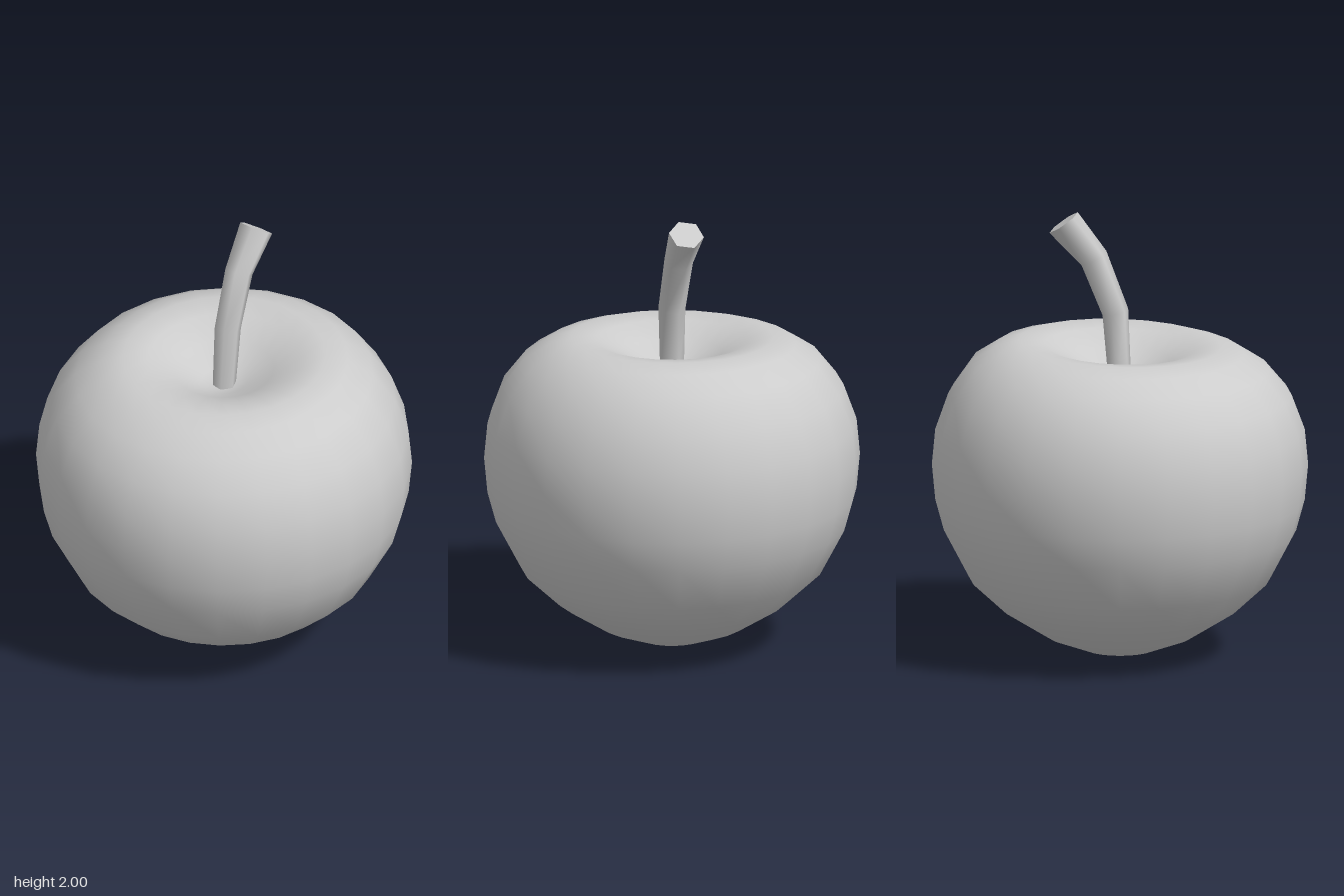
import * as THREE from 'three';
import { toCreasedNormals } from 'three/addons/utils/BufferGeometryUtils.js';

const clay = new THREE.MeshStandardMaterial({ color: 0xcccccc });
clay.name = 'light grey';

// Round body: a turned profile with a dimple, its shoulder leaning slightly
function makeBody() {
  const profile = [
    [0, 0], [0.16, 0.025], [0.33, 0.09], [0.52, 0.21], [0.67, 0.35],
    [0.78, 0.56], [0.818, 0.7], [0.833, 0.86], [0.818, 1.02], [0.76, 1.18],
    [0.66, 1.31], [0.55, 1.38], [0.45, 1.41], [0.34, 1.395], [0.22, 1.34],
    [0.1, 1.275], [0, 1.25],
  ].map(([r, y]) => new THREE.Vector2(r, y));
  const geometry = new THREE.LatheGeometry(profile, 24);
  const p = geometry.attributes.position;
  for (let i = 0; i < p.count; i++) {
    const lean = THREE.MathUtils.smoothstep(p.getY(i), 1.1, 1.4);
    p.setY(i, p.getY(i) + lean * (0.02 * p.getX(i) - 0.03 * p.getZ(i)));
  }
  const mesh = new THREE.Mesh(toCreasedNormals(geometry, 2), clay);
  mesh.name = 'fruitBody';
  return mesh;
}

// Bent stem: a six-sided cylinder whose rings follow a path
function makeStem() {
  // centre x, y, z, radius, backward tilt, sideways tilt
  const rings = [
    [0.0, 1.23, 0.0, 0.052, 0, 0],
    [0.012, 1.55, -0.018, 0.06, 0.2, -0.04],
    [0.035, 1.795, -0.11, 0.064, 0.48, -0.1],
    [0.076, 1.955, -0.238, 0.078, 0.59, -0.2],
  ];
  const geometry = new THREE.CylinderGeometry(1, 1, 3, 6, 3);
  const p = geometry.attributes.position;
  const v = new THREE.Vector3();
  for (let i = 0; i < p.count; i++) {
    const [x, y, z, radius, back, side] = rings[Math.round(p.getY(i) + 1.5)];
    v.set(p.getX(i) * radius, 0, p.getZ(i) * radius);
    v.applyEuler(new THREE.Euler(-back, 0, side));
    p.setXYZ(i, x + v.x, y + v.y, z + v.z);
  }
  const mesh = new THREE.Mesh(toCreasedNormals(geometry, 1.15), clay);
  mesh.name = 'stem';
  return mesh;
}

export function createModel() {
  const group = new THREE.Group();
  group.name = 'apple';
  group.add(makeBody(), makeStem());
  return group;
}
